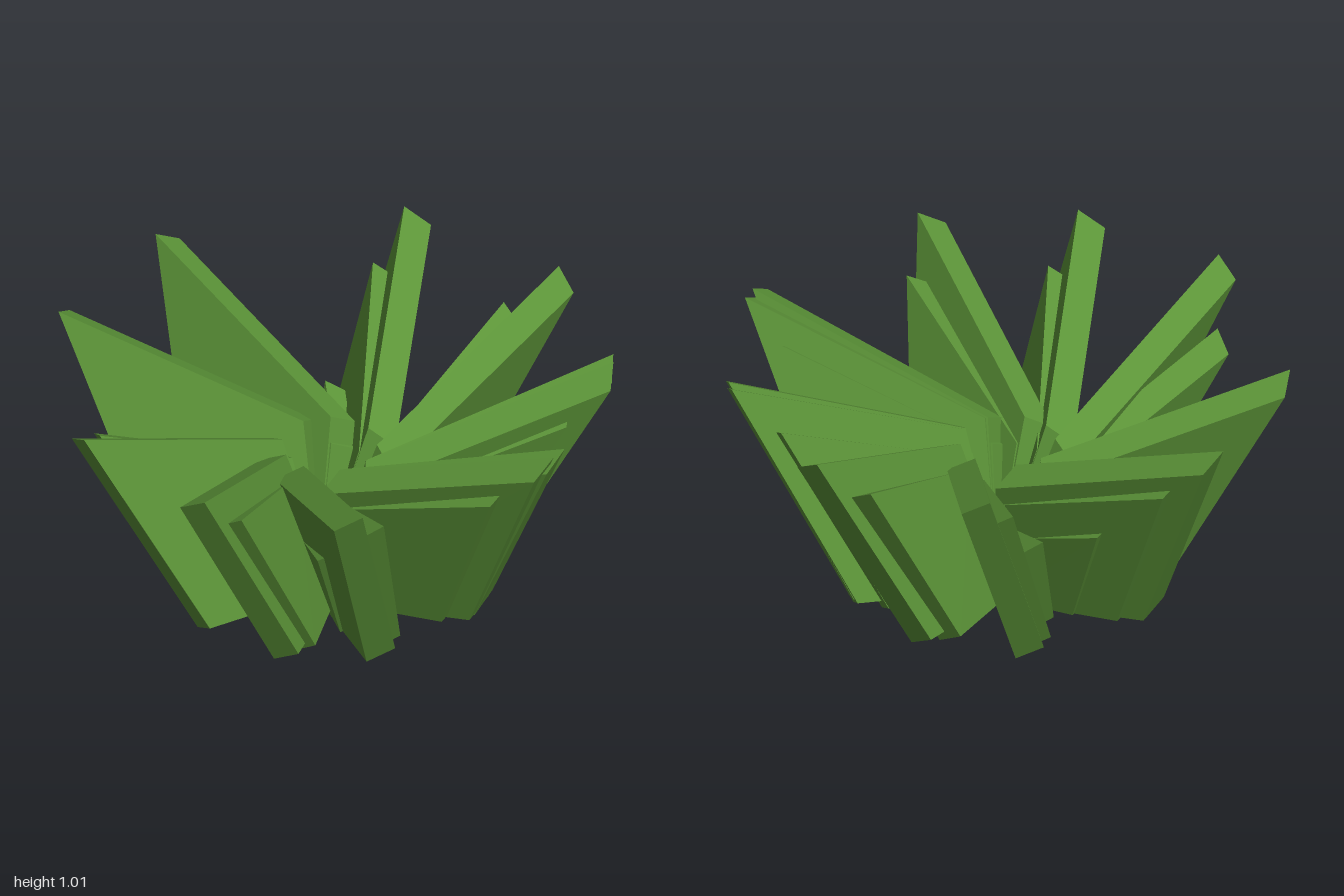
import * as THREE from 'three';

// A leaf slab: a box whose corners are moved to a fan-shaped, leaning profile.
// Local axes: x points outward, y up, z sideways.
function leafGeometry(scale, thickness) {
  const corners = {
    outerTop: [1.01, 0.98, 0],
    outerBottom: [0.58, 0.122, -0.145],
    innerTop: [0.135, 0.62, 0.152],
    innerBottom: [0.01, 0.028, 0.0],
  };
  const geo = new THREE.BoxGeometry(1, 1, 1);
  const pos = geo.attributes.position;
  for (let i = 0; i < pos.count; i++) {
    const c = corners[(pos.getX(i) > 0 ? 'outer' : 'inner') + (pos.getY(i) > 0 ? 'Top' : 'Bottom')];
    const side = (pos.getZ(i) > 0 ? 1 : -1) * thickness;
    pos.setXYZ(
      i,
      c[0] * scale - side * 0.002,
      Math.max(0, c[1] * scale - side * 0.028),
      c[2] * scale + side * 0.051
    );
  }
  const flat = geo.toNonIndexed();
  flat.computeVertexNormals();
  return flat;
}

export function createModel() {
  const model = new THREE.Group();
  model.name = 'leafyPlant';
  const leafGreen = new THREE.MeshStandardMaterial({ color: 0x5c9438, flatShading: true });
  leafGreen.name = 'leafGreen';

  // Four rings of leaves; angles in degrees, from +x towards +z
  const rings = [
    { name: 'largeLeaf', scale: 1, thickness: 1,
      angles: [-165, -112, -73.4, -39.3, -36.5, -3.2, 0.6, 46, 78.8, 112.4, 160.3] },
    { name: 'mediumLeaf', scale: 0.847, thickness: 0.95,
      angles: [-162, -116.5, -80.5, -45, -34.8, -4.7, 4.5, 40, 74.5, 125.5] },
    { name: 'smallLeaf', scale: 0.54, thickness: 0.7,
      angles: [-158, -128, -60, 50.5, 84, 151] },
    { name: 'tinyLeaf', scale: 0.28, thickness: 0.6,
      angles: [-160, -70, 14, 105] },
  ];
  for (const ring of rings) {
    const geo = leafGeometry(ring.scale, ring.thickness);
    ring.angles.forEach((deg, i) => {
      const leaf = new THREE.Mesh(geo, leafGreen);
      leaf.name = ring.name + (i + 1);
      // The leaves grow from a point slightly off the centre
      leaf.position.set(-0.011, 0, -0.011);
      leaf.rotation.y = -THREE.MathUtils.degToRad(deg);
      model.add(leaf);
    });
  }
  return model;
}
